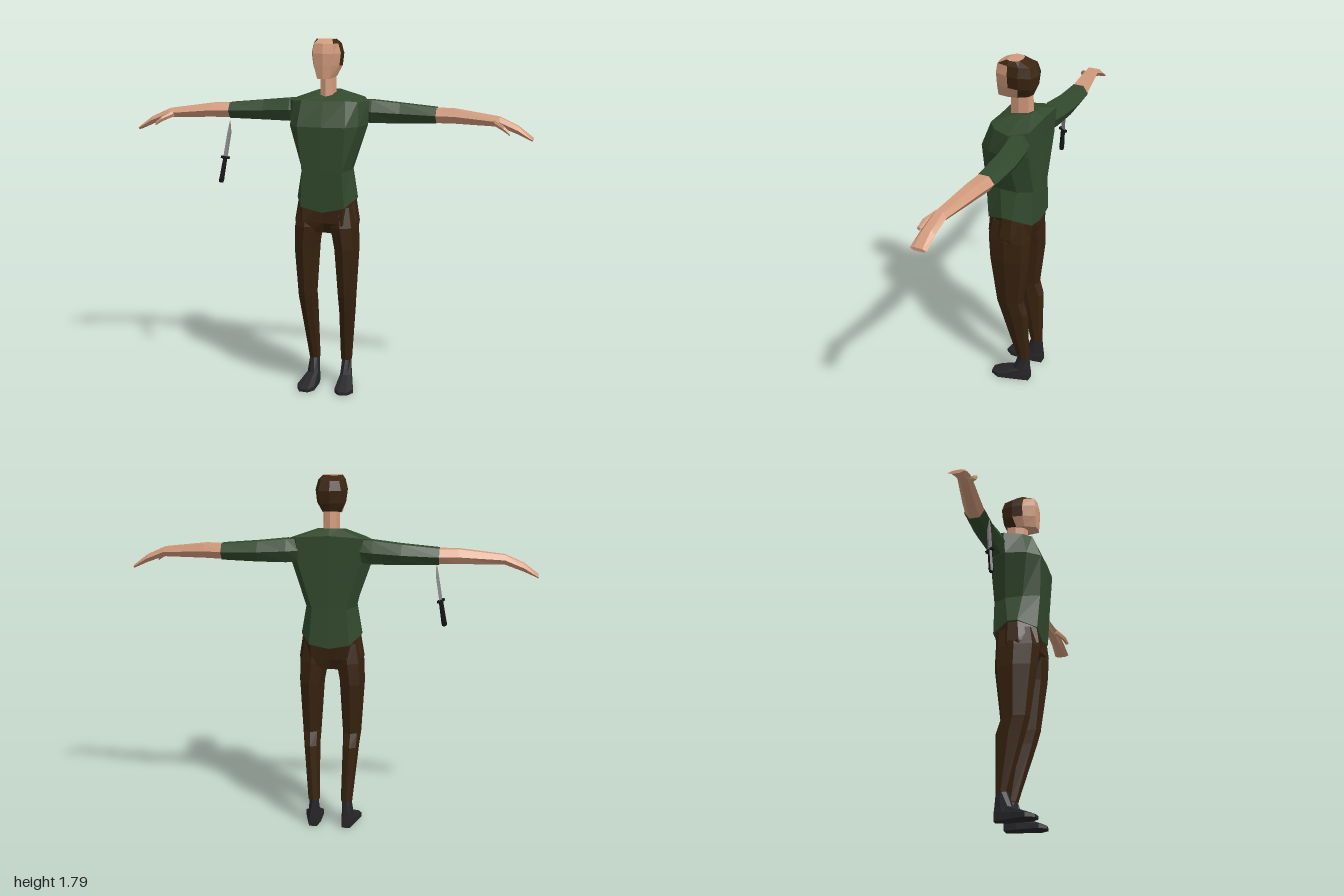
import * as THREE from 'three';

const material = (name, color) => {
  const m = new THREE.MeshStandardMaterial({ color, flatShading: true });
  m.name = name;
  return m;
};

// Skin a closed row of rings with flat faces and capped ends.
// pick(row, side) chooses a material index; caps use index 0.
function loft(rings, pick = () => 0) {
  const faces = [];
  const add = (k, ...pts) => (faces[k] ??= []).push(...pts.flat());
  const n = rings[0].length;
  for (let i = 0; i < rings.length - 1; i++) {
    for (let j = 0; j < n; j++) {
      const a = rings[i][j], b = rings[i][(j + 1) % n];
      const d = rings[i + 1][j], c = rings[i + 1][(j + 1) % n];
      add(pick(i, j), a, b, c, a, c, d);
    }
  }
  const cap = (ring, flip) => {
    const mid = [0, 1, 2].map(k => ring.reduce((s, p) => s + p[k], 0) / n);
    ring.forEach((p, j) => {
      const q = ring[(j + 1) % n];
      flip ? add(0, mid, q, p) : add(0, mid, p, q);
    });
  };
  cap(rings[0], true);
  cap(rings[rings.length - 1], false);

  const geo = new THREE.BufferGeometry();
  geo.setAttribute('position', new THREE.Float32BufferAttribute(faces.flat(), 3));
  let start = 0;
  faces.forEach((f, k) => { geo.addGroup(start, f.length / 3, k); start += f.length / 3; });
  geo.computeVertexNormals();
  return geo;
}

// Complete a half ring (front centre to back centre) by mirroring in x
const whole = half => [...half, ...half.slice(1, -1).reverse().map(([x, y, z]) => [-x, y, z])];
const level = (y, half) => whole(half.map(([x, z]) => [x, y, z]));
// The same rings for the other side of the body
const flipX = rings => rings.map(r => r.map(([x, y, z]) => [-x, y, z]).reverse());

// Eight sided level ring from its x and z limits
const OCT = [[0, 1], [.72, .78], [1, 0], [.72, -.78], [0, -1], [-.72, -.78], [-1, 0], [-.72, .78]];
const octRing = ([y, x0, x1, z0, z1]) => OCT.map(([u, v]) =>
  [(x0 + x1) / 2 + u * (x1 - x0) / 2, y, (z0 + z1) / 2 + v * (z1 - z0) / 2]);

// Six sided upright ring for the arms: x, centre y and z, half height and half depth
const armRing = ([x, cy, cz, hy, hz]) => Array.from({ length: 6 }, (_, i) => {
  const a = Math.PI / 6 + i * Math.PI / 3;
  return [x, cy + Math.cos(a) * hy / .866, cz + Math.sin(a) * hz];
});

export function createModel() {
  const skin = material('skin', 0xd29b7c);
  const hair = material('hair', 0x3c2611);
  const shirt = material('shirt green', 0x334a2e);
  const trousers = material('trouser brown', 0x38230f);
  const leather = material('shoe black', 0x27272a);
  const steel = material('steel', 0x8a8a8c);
  const grip = material('grip black', 0x17171a);

  const model = new THREE.Group();
  model.name = 'man';
  const part = (name, geo, mat, parent = model) => {
    const mesh = new THREE.Mesh(geo, mat);
    mesh.name = name;
    parent.add(mesh);
    return mesh;
  };
  const pair = (name, rings, mat) => {
    part('left' + name, loft(rings), mat);
    part('right' + name, loft(flipX(rings)), mat);
  };

  // Head: face and crown in skin, hair around the back and temples
  const headRings = [
    whole([[0, 1.6, .095], [.03, 1.6, .09], [.045, 1.605, .03], [.045, 1.61, -.015], [.035, 1.62, -.07], [0, 1.62, -.078]]),
    level(1.66, [[0, .1], [.045, .09], [.065, .025], [.07, -.03], [.048, -.085], [0, -.095]]),
    level(1.72, [[0, .102], [.05, .092], [.073, .025], [.077, -.03], [.055, -.09], [0, -.105]]),
    level(1.767, [[0, .092], [.048, .085], [.061, .03], [.064, -.03], [.045, -.078], [0, -.086]]),
    level(1.788, [[0, .045], [.035, .042], [.048, .025], [.045, -.005], [.03, -.02], [0, -.025]]),
  ];
  const hairline = [3, 2, 2, 1];
  part('head', loft(headRings, (row, side) => {
    const s = Math.min(side, 9 - side);
    return s >= hairline[row] ? 1 : 0;
  }), [skin, hair]);
  part('neck', loft([[1.49, -.042, .042, -.082, .04], [1.64, -.04, .04, -.076, .036]].map(octRing)), skin);

  // Shirt body
  part('shirt', loft([
    whole([[0, .945, .11], [.11, .97, .112], [.15, 1.005, .02], [.15, 1.005, -.03], [.1, .97, -.118], [0, .95, -.12]]),
    level(1.15, [[0, .128], [.1, .126], [.122, .04], [.122, -.05], [.085, -.118], [0, -.122]]),
    level(1.37, [[0, .143], [.12, .137], [.172, .075], [.198, -.03], [.15, -.122], [0, -.126]]),
    whole([[0, 1.49, .092], [.11, 1.495, .09], [.162, 1.487, .05], [.2, 1.487, -.04], [.16, 1.5, -.128], [0, 1.51, -.132]]),
    whole([[0, 1.508, .045], [.04, 1.515, .04], [.065, 1.53, 0], [.065, 1.535, -.05], [.045, 1.54, -.085], [0, 1.54, -.092]]),
  ]), shirt);

  // Arms, reaching out along x
  pair('Sleeve', [
    [.15, 1.435, -.085, .055, .045], [.21, 1.432, -.085, .057, .056],
    [.35, 1.426, -.095, .049, .055], [.53, 1.42, -.088, .039, .053],
  ].map(armRing), shirt);
  pair('Forearm', [
    [.52, 1.42, -.088, .036, .05], [.62, 1.42, -.075, .035, .045], [.84, 1.403, -.037, .023, .034],
  ].map(armRing), skin);
  pair('Hand', [
    [.84, 1.403, -.037, .023, .034], [.93, 1.366, -.027, .019, .036], [1, 1.324, -.021, .008, .04],
  ].map(armRing), skin);
  pair('Thumb', [
    [.815, 1.4, -.015, .014, .016], [.865, 1.376, .022, .012, .015], [.895, 1.352, .035, .007, .01],
  ].map(armRing), skin);

  // Hips and legs
  part('hips', loft([
    whole([[0, .835, .06], [.09, .84, .105], [.155, .86, .03], [.155, .86, -.03], [.09, .84, -.095], [0, .835, -.07]]),
    whole([[0, .89, .095], [.1, .89, .118], [.16, .89, .03], [.16, .89, -.03], [.09, .89, -.104], [0, .89, -.09]]),
    level(1, [[0, .104], [.105, .104], [.143, .02], [.143, -.03], [.095, -.11], [0, -.112]]),
  ]), trousers);
  pair('Leg', [
    [.14, .055, .114, -.102, -.038], [.43, .058, .142, -.1, .053], [.5, .055, .15, -.076, .072],
    [.76, .038, .166, -.106, .11], [.87, .018, .163, -.108, .12], [.97, .012, .146, -.1, .102],
  ].map(octRing), trousers);

  // Shoes, toes turned slightly outwards
  const sole = [[.08, .105], [.125, .1], [.148, .055], [.118, -.06], [.105, -.105], [.065, -.105], [.054, -.04], [.054, .07]];
  const welt = [.015, .015, .022, .035, .035, .035, .035, .022];
  const instep = [[.078, -.015], [.1, -.018], [.116, -.035], [.114, -.07], [.1, -.103], [.07, -.103], [.06, -.07], [.06, -.03]];
  pair('Shoe', [
    sole.map(([x, z]) => [x, 0, z]),
    sole.map(([x, z], i) => [x, welt[i], z]),
    instep.map(([x, z]) => [x, .065, z]),
    octRing([.15, .06, .11, -.1, -.042]),
  ], leather);

  // Knife hanging point up below the right forearm
  const knife = new THREE.Group();
  knife.name = 'knife';
  const bladeRing = (y, z0, z1, t) => [[0, y, z1], [t, y, (z0 + z1) / 2], [0, y, z0], [-t, y, (z0 + z1) / 2]];
  part('blade', loft([
    bladeRing(0, -.015, .015, .004), bladeRing(.13, -.013, .015, .004), bladeRing(.19, .008, .011, .001),
  ]), steel, knife);
  part('guard', new THREE.BoxGeometry(.016, .012, .048), grip, knife);
  const handle = part('handle', new THREE.CylinderGeometry(.011, .013, .11, 6), grip, knife);
  handle.position.y = -.06;
  const pommel = part('pommel', new THREE.CylinderGeometry(.014, .011, .018, 6), grip, knife);
  pommel.position.y = -.121;
  knife.position.set(-.538, 1.185, -.004);
  knife.quaternion
    .setFromUnitVectors(new THREE.Vector3(0, 1, 0), new THREE.Vector3(.05, .315, -.035).normalize())
    .multiply(new THREE.Quaternion().setFromAxisAngle(new THREE.Vector3(0, 1, 0), -.5));
  model.add(knife);

  return model;
}
